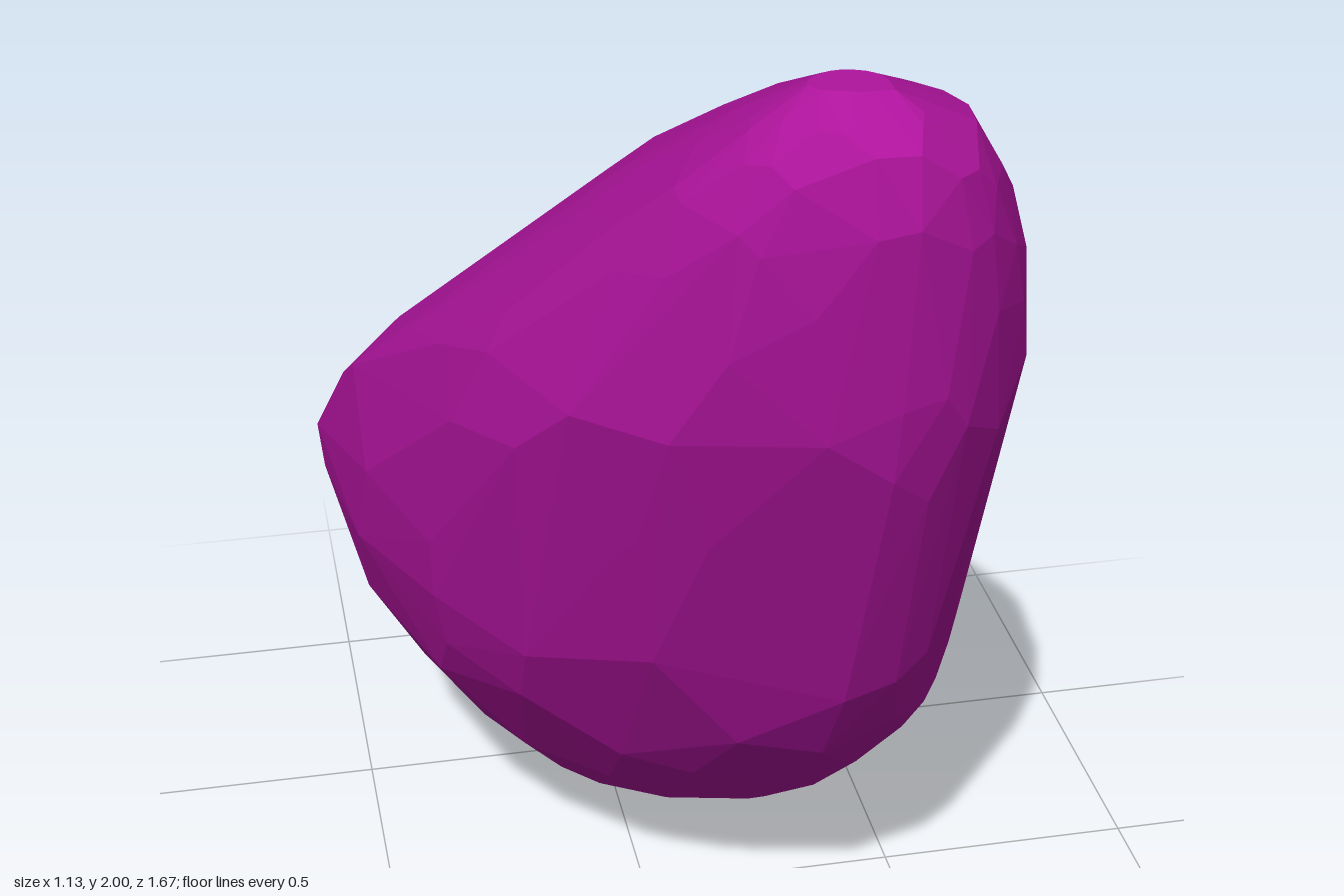
import * as THREE from 'three';
import { ConvexGeometry } from 'three/addons/geometries/ConvexGeometry.js';

// Horizontal slices of the leaning stone:
// [y, xLeft, xRight, zFront, zBack, z of xLeft, front and back end of the flat right side]
const SLICES = [
  [0.00, 0.17, 0.28, -0.39, -0.43, -0.41, -0.41, -0.41],
  [0.04, -0.04, 0.36, -0.22, -0.57, -0.42, -0.42, -0.45],
  [0.09, -0.14, 0.42, -0.13, -0.67, -0.43, -0.40, -0.48],
  [0.20, -0.24, 0.545, 0.01, -0.77, -0.43, -0.30, -0.46],
  [0.36, -0.36, 0.55, 0.20, -0.83, -0.43, -0.15, -0.38],
  [0.60, -0.51, 0.56, 0.42, -0.825, -0.44, 0.00, -0.28],
  [0.80, -0.56, 0.56, 0.55, -0.78, -0.43, 0.05, -0.24],
  [0.90, -0.57, 0.56, 0.59, -0.71, -0.42, 0.08, -0.20],
  [1.14, -0.51, 0.555, 0.67, -0.50, -0.20, 0.20, -0.05],
  [1.36, -0.39, 0.55, 0.77, -0.31, 0.17, 0.30, 0.14],
  [1.50, -0.30, 0.54, 0.80, -0.16, 0.35, 0.42, 0.28],
  [1.72, -0.15, 0.485, 0.825, 0.13, 0.52, 0.52, 0.46],
  [1.82, -0.08, 0.43, 0.84, 0.30, 0.62, 0.60, 0.56],
  [1.93, 0.02, 0.36, 0.82, 0.50, 0.68, 0.67, 0.65],
  [2.00, 0.10, 0.22, 0.74, 0.65, 0.70, 0.70, 0.70],
];
const SIDES = 20;

function seeded(seed) {
  return () => (seed = (seed * 16807) % 2147483647) / 2147483647;
}

// One point of a slice, made of four quarter ellipses
function slicePoint([y, xl, xr, zf, zb, zl, zrf, zrb], a) {
  const c = Math.cos(a), s = Math.sin(a);
  const right = c > 0, front = s > 0;
  // The front ridge runs straight up, the back ridge drifts to the right
  const x0 = THREE.MathUtils.clamp(front ? 0.24 : 0.08 * y, xl, xr);
  const x1 = right ? xr : xl;
  const z0 = right ? (front ? zrf : zrb) : zl, z1 = front ? zf : zb;
  return new THREE.Vector3(x0 + (x1 - x0) * Math.abs(c), y, z0 + (z1 - z0) * Math.abs(s));
}

export function createModel() {
  const random = seeded(71);
  // The sharp lower corner of the flat side comes first
  const points = [new THREE.Vector3(0.54, 0.09, -0.5)];
  SLICES.forEach((slice, k) => {
    const above = SLICES[Math.min(k + 1, SLICES.length - 1)];
    for (let i = 0; i < SIDES; i++) {
      // The four extremes stay in place; the rest scatter for irregular facets
      const loose = i % (SIDES / 4) !== 0;
      const t = loose ? random() : 0;
      const shift = loose ? (random() - 0.5) * 0.9 : 0;
      const between = slice.map((v, j) => v + (above[j] - v) * t);
      points.push(slicePoint(between, ((i + shift) / SIDES) * Math.PI * 2));
    }
  });
  const stone = new THREE.Mesh(
    new ConvexGeometry(points),
    new THREE.MeshStandardMaterial({ color: 0xae149c, flatShading: true })
  );
  stone.name = 'stone';

  const model = new THREE.Group();
  model.name = 'facetedStone';
  model.add(stone);
  return model;
}
